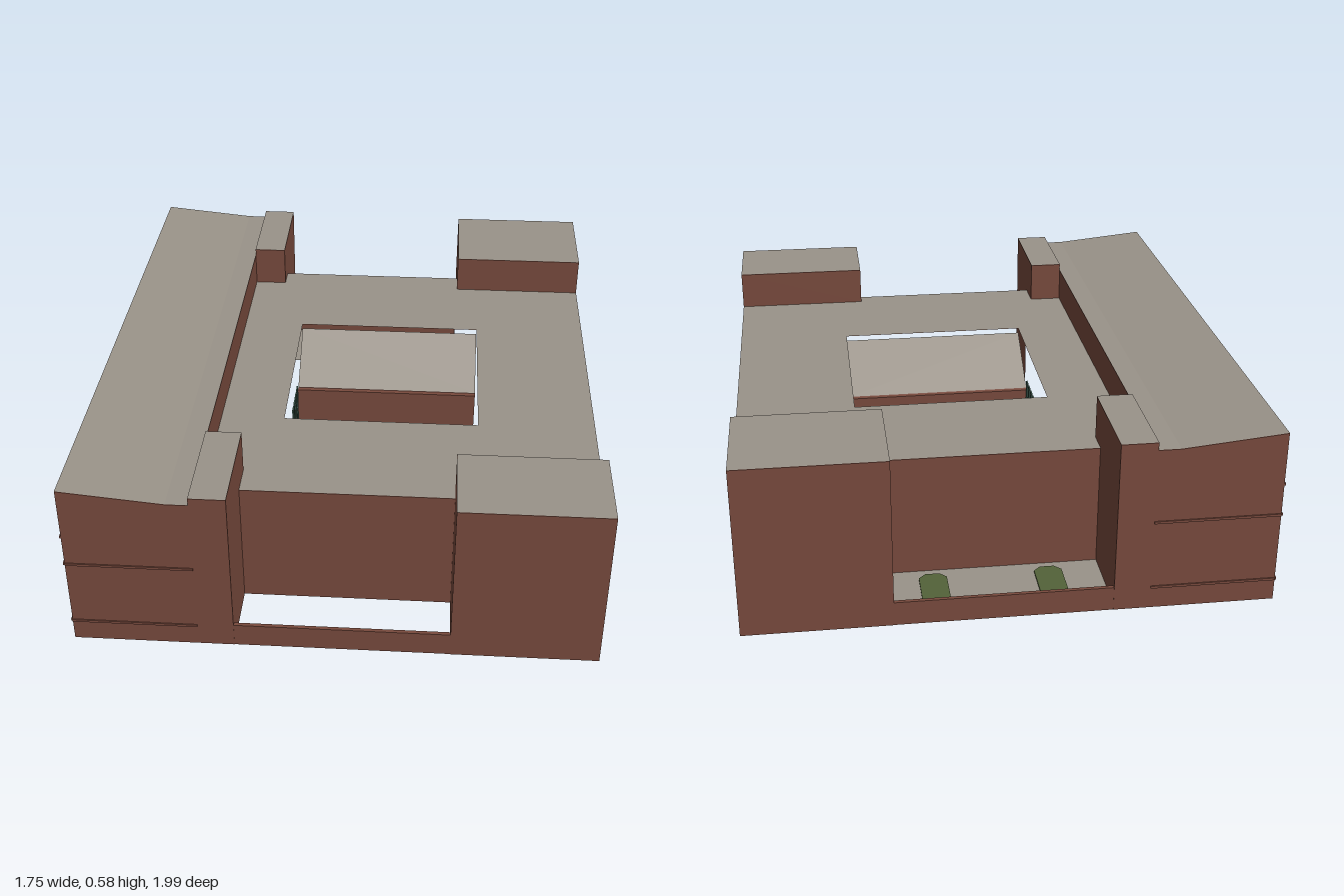
import * as THREE from 'three';

const mat = (name, color, side = THREE.FrontSide) => {
  const m = new THREE.MeshStandardMaterial({ color, side });
  m.name = name;
  return m;
};

export function createModel() {
  const root = new THREE.Group();
  root.name = 'courtyardBuilding';
  const brick = mat('brick', 0x784a3d);
  const roof = mat('roofGrey', 0x9a9389, THREE.DoubleSide);
  const stone = mat('stone', 0xa8a49a);
  const glass = mat('tealGlass', 0x48695c);
  const green = mat('hedgeGreen', 0x536339);
  const dark = mat('darkPorch', 0x393232);

  const add = (name, geo, m) => {
    const mesh = new THREE.Mesh(geo, m);
    mesh.name = name;
    root.add(mesh);
    return mesh;
  };
  // box given by its limits on each axis
  const box = (name, m, x0, x1, y0, y1, z0, z1) => {
    const mesh = add(name, new THREE.BoxGeometry(x1 - x0, y1 - y0, z1 - z0), m);
    mesh.position.set((x0 + x1) / 2, (y0 + y1) / 2, (z0 + z1) / 2);
    return mesh;
  };
  const poly = (pts, Kind = THREE.Shape) => new Kind(pts.map(([a, b]) => new THREE.Vector2(a, b)));
  const rect = (x0, x1, z0, z1) => [[x0, z0], [x1, z0], [x1, z1], [x0, z1]];
  const plan = (pts, holes = []) => {
    const s = poly(pts.map(([x, z]) => [x, -z]));
    s.holes = holes.map(h => poly(h.map(([x, z]) => [x, -z]), THREE.Path));
    return s;
  };
  // brick block raised from a plan, capped with a flat grey roof
  const block = (name, pts, y0, y1, holes) => {
    const s = plan(pts, holes);
    add(name, new THREE.ExtrudeGeometry(s, { depth: y1 - y0, bevelEnabled: false })
      .rotateX(-Math.PI / 2).translate(0, y0, 0), brick);
    add(name + 'Roof', new THREE.ShapeGeometry(s).rotateX(-Math.PI / 2).translate(0, y1 + 0.0015, 0), roof);
  };
  // profile in (z, y) extruded from x towards -x
  const alongX = (name, m, shape, x, depth) =>
    add(name, new THREE.ExtrudeGeometry(shape, { depth, bevelEnabled: false })
      .rotateY(-Math.PI / 2).translate(x, 0, 0), m);
  const quad = (name, m, a, b, c, d) => {
    const g = new THREE.BufferGeometry();
    g.setAttribute('position', new THREE.Float32BufferAttribute([...a, ...b, ...c, ...a, ...c, ...d], 3));
    g.computeVertexNormals();
    return add(name, g, m);
  };

  const L = -0.83, W = -0.43, R = 0.84, F = 0.98, B = -1;
  const bayL = -0.315, bayR = 0.37, cL = -0.215, cR = 0.445;

  // main block with front and back bays and a central courtyard
  block('mainBlock', [[W, B], [bayL, B], [bayL, -0.73], [bayR, -0.73], [bayR, B], [R, B],
    [R, F], [bayR, F], [bayR, 0.735], [bayL, 0.735], [bayL, F], [W, F]], 0, 0.43,
  [rect(cL, cR, -0.325, 0.32)]);

  // corner towers
  block('frontRightTower', rect(bayR, R, 0.685, F), 0.43, 0.565);
  block('backRightTower', rect(bayR, R, B, -0.64), 0.43, 0.565);
  block('frontLeftTower', rect(W, bayL, 0.625, F), 0.43, 0.575);
  block('backLeftTower', rect(W, bayL, B, -0.65), 0.43, 0.575);

  // long wing with a gently sloping roof
  const wing = poly([[L, 0], [W, 0], [W, 0.55], [-0.5, 0.55], [L, 0.582]]);
  add('wing', new THREE.ExtrudeGeometry(wing, { depth: F - B, bevelEnabled: false }).translate(0, 0, B), brick);
  const e = 0.0015;
  quad('wingRoofSlope', roof, [L, 0.582 + e, B], [L, 0.582 + e, F], [-0.5, 0.55 + e, F], [-0.5, 0.55 + e, B]);
  quad('wingRoofFlat', roof, [-0.5, 0.55 + e, B], [-0.5, 0.55 + e, F], [W, 0.55 + e, F], [W, 0.55 + e, B]);

  // string courses round the wing
  for (const y of [0.07, 0.3]) {
    box('sideCourse', brick, L - 0.005, L, y, y + 0.008, B, F);
    box('frontCourse', brick, L, W, y, y + 0.008, F, F + 0.004);
    box('backCourse', brick, L, W, y, y + 0.008, B - 0.004, B);
  }
  box('upperCourse', brick, L - 0.005, L, 0.405, 0.412, B, F);

  // rows of small brick dentils on the wing facade
  const pitch = 0.033, n = 59;
  for (const [y, h] of [[0.42, 0.035], [0.475, 0.02], [0.53, 0.03]]) {
    const row = new THREE.InstancedMesh(new THREE.BoxGeometry(0.007, h, 0.016), brick, n);
    row.name = 'dentilRow';
    const m = new THREE.Matrix4();
    for (let i = 0; i < n; i++) row.setMatrixAt(i, m.makeTranslation(L - 0.003, y + h / 2, B + 0.033 + i * pitch));
    root.add(row);
  }

  // courtyard lean-to ranges with roofs falling inward
  for (const [s, name, outer, lip, inner] of [[-1, 'backRange', 0.325, 0.13, 0.112], [1, 'frontRange', 0.32, 0.112, 0.095]]) {
    alongX(name, brick, poly([[s * outer, 0], [s * outer, 0.41], [s * lip, 0.27], [s * inner, 0.27], [s * inner, 0]]), cR, cR - cL);
    quad(name + 'Roof', roof, [cL, 0.412, s * outer], [cR, 0.412, s * outer], [cR, 0.272, s * lip], [cL, 0.272, s * lip]);
  }

  // courtyard hedges, pool and end windows
  box('backHedge', green, -0.16, 0.39, 0.005, 0.04, -0.11, -0.088);
  box('frontHedge', green, -0.16, 0.39, 0.005, 0.04, 0.065, 0.09);
  box('poolRim', stone, -0.11, 0.335, 0.005, 0.022, -0.042, 0.06);
  box('poolWater', glass, -0.1, 0.325, 0.003, 0.025, -0.034, 0.052);
  for (let i = 0; i < 4; i++) {
    const z = -0.075 + i * 0.045;
    box('courtWindow', glass, cL, cL + 0.005, 0.17, 0.31, z, z + 0.03);
  }

  // low bay walls, back terrace and its planting beds
  box('frontBayWall', brick, bayL, bayR, 0, 0.08, 0.966, F - 0.001);
  box('backBayWall', brick, bayL, bayR, 0, 0.08, B + 0.001, B + 0.014);
  quad('terrace', roof, [bayL, 0.02, B + 0.01], [bayL, 0.02, -0.73], [bayR, 0.02, -0.73], [bayR, 0.02, B + 0.01]);
  for (const x of [-0.145, 0.23]) {
    const w = 0.045, c = 0.022, z0 = -0.98, z1 = -0.76;
    const bed = plan([[x - w + c, z0], [x + w - c, z0], [x + w, z0 + c], [x + w, z1 - c],
      [x + w - c, z1], [x - w + c, z1], [x - w, z1 - c], [x - w, z0 + c]]);
    add('plantingBed', new THREE.ExtrudeGeometry(bed, { depth: 0.009, bevelEnabled: false })
      .rotateX(-Math.PI / 2).translate(0, 0.0165, 0), green);
  }

  // row of windows with sills on the right flank
  for (let i = 0; i < 6; i++) {
    const z = 0.317 - i * 0.0945;
    box('flankWindow', glass, R, R + 0.004, 0.073, 0.142, z - 0.024, z + 0.024);
    box('flankSill', stone, R, R + 0.007, 0.064, 0.073, z - 0.026, z + 0.026);
  }

  // side porch: dark recess, canopy, landing and rail
  box('porchPanel', dark, R, R + 0.006, 0.055, 0.165, -0.415, -0.225);
  box('porchCanopy', dark, R, R + 0.033, 0.157, 0.163, -0.297, -0.225);
  box('porchLanding', stone, R, R + 0.035, 0.033, 0.052, -0.42, -0.225);
  box('porchRail', stone, R + 0.03, R + 0.033, 0.052, 0.085, -0.42, -0.41);

  // pointed entrance portal on the wing
  const mid = 0.012;
  const arch = (Kind, w, spring, peak, y0 = 0.02) => {
    const s = new Kind();
    s.moveTo(mid - w, y0);
    s.lineTo(mid + w, y0);
    s.lineTo(mid + w, spring);
    s.quadraticCurveTo(mid + w * 0.9, (spring + peak) / 2, mid, peak);
    s.quadraticCurveTo(mid - w * 0.9, (spring + peak) / 2, mid - w, spring);
    s.closePath();
    return s;
  };
  const gable = poly([[mid - 0.08, 0.02], [mid + 0.08, 0.02], [mid + 0.08, 0.18], [mid, 0.295], [mid - 0.08, 0.18]]);
  gable.holes.push(arch(THREE.Path, 0.055, 0.14, 0.24, 0.0205));
  alongX('portalFrame', stone, gable, L, 0.012);
  alongX('portalDoor', glass, arch(THREE.Shape, 0.055, 0.14, 0.24), L, 0.006);
  box('doorPost', dark, L - 0.009, L, 0.02, 0.2, mid - 0.004, mid + 0.004);
  for (const s of [-1, 1]) {
    const z = mid + s * 0.09;
    box('portalPier', brick, L - 0.017, L, 0, 0.2, z - 0.011, z + 0.011);
  }
  // entrance step with a sloping top
  const step = poly([[-0.875, 0], [L, 0], [L, 0.03], [-0.875, 0.016]]);
  add('entranceStep', new THREE.ExtrudeGeometry(step, { depth: 0.205, bevelEnabled: false }).translate(0, 0, -0.09), stone);

  return root;
}
